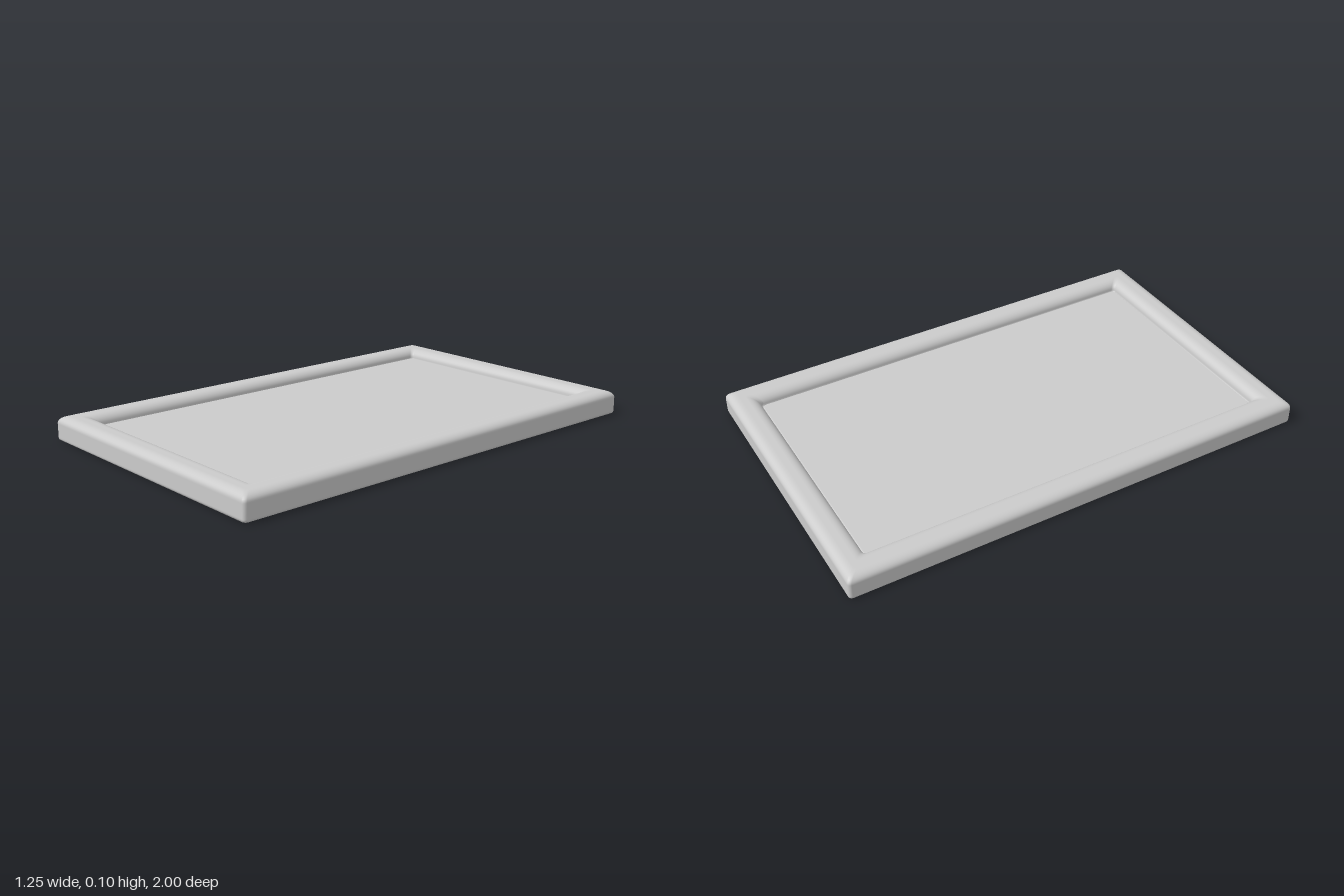
import * as THREE from 'three';

const HALF_X = 0.625, HALF_Z = 1, CORNER = 0.014, CORNER_STEPS = 4;
const PANEL_Y = 0.062, PANEL_INSET = 0.122;

// Rounded rectangle, inset from the outer edge, as [x, z] points
function outline(inset) {
  const points = [];
  const signs = [[1, 1], [-1, 1], [-1, -1], [1, -1]];
  signs.forEach(([sx, sz], corner) => {
    for (let k = 0; k <= CORNER_STEPS; k++) {
      const a = (corner + k / CORNER_STEPS) * Math.PI / 2;
      points.push([
        sx * (HALF_X - inset - CORNER) + CORNER * Math.cos(a),
        sz * (HALF_Z - inset - CORNER) + CORNER * Math.sin(a),
      ]);
    }
  });
  return points;
}

// Elliptical quarter arc of [inset, y] points
function arc(cx, cy, rx, ry, from, to, steps) {
  return Array.from({ length: steps + 1 }, (_, k) => {
    const a = THREE.MathUtils.degToRad(from + (to - from) * k / steps);
    return [cx + rx * Math.cos(a), cy + ry * Math.sin(a)];
  });
}

// Sweep the moulding profile around the rectangle
function mouldingGeometry(profile) {
  const positions = [], indices = [];
  const n = outline(0).length;
  profile.forEach(([inset, y], i) => {
    outline(inset).forEach(([x, z]) => positions.push(x, y, z));
    if (i === profile.length - 1) return;
    for (let j = 0; j < n; j++) {
      const a = i * n + j, c = i * n + (j + 1) % n;
      indices.push(a, a + n, c, c, a + n, c + n);
    }
  });
  const geometry = new THREE.BufferGeometry();
  geometry.setAttribute('position', new THREE.Float32BufferAttribute(positions, 3));
  geometry.setIndex(indices);
  geometry.computeVertexNormals();
  return geometry;
}

// Flat sheet filling the outline, facing up or down
function sheetGeometry(inset, y, up) {
  const shape = new THREE.Shape(outline(inset).map(([x, z]) => new THREE.Vector2(x, z)));
  const geometry = new THREE.ShapeGeometry(shape);
  geometry.rotateX(up ? -Math.PI / 2 : Math.PI / 2);
  geometry.translate(0, y, 0);
  return geometry;
}

export function createModel() {
  const group = new THREE.Group();
  const material = new THREE.MeshStandardMaterial({ color: 0xcccccc });
  const add = (name, geometry) => {
    const mesh = new THREE.Mesh(geometry, material);
    mesh.name = name;
    group.add(mesh);
  };

  // Frame: small lower round, soft outer shoulder, inner roll, narrow groove
  const profile = [
    ...arc(0.01, 0.01, 0.01, 0.01, 270, 180, 3),
    [0, 0.015],
    [0, 0.068],
    ...arc(0.04, 0.072, 0.04, 0.028, 180, 90, 8),
    [0.044, 0.1],
    [0.066, 0.1],
    ...arc(0.07, 0.064, 0.044, 0.036, 90, 0, 8),
    [0.115, 0.056],
    [0.119, 0.056],
    [PANEL_INSET, PANEL_Y],
  ];
  add('frame', mouldingGeometry(profile));

  // Recessed panel and underside
  add('panel', sheetGeometry(PANEL_INSET, PANEL_Y, true));
  add('backing', sheetGeometry(0.01, 0, false));
  return group;
}
